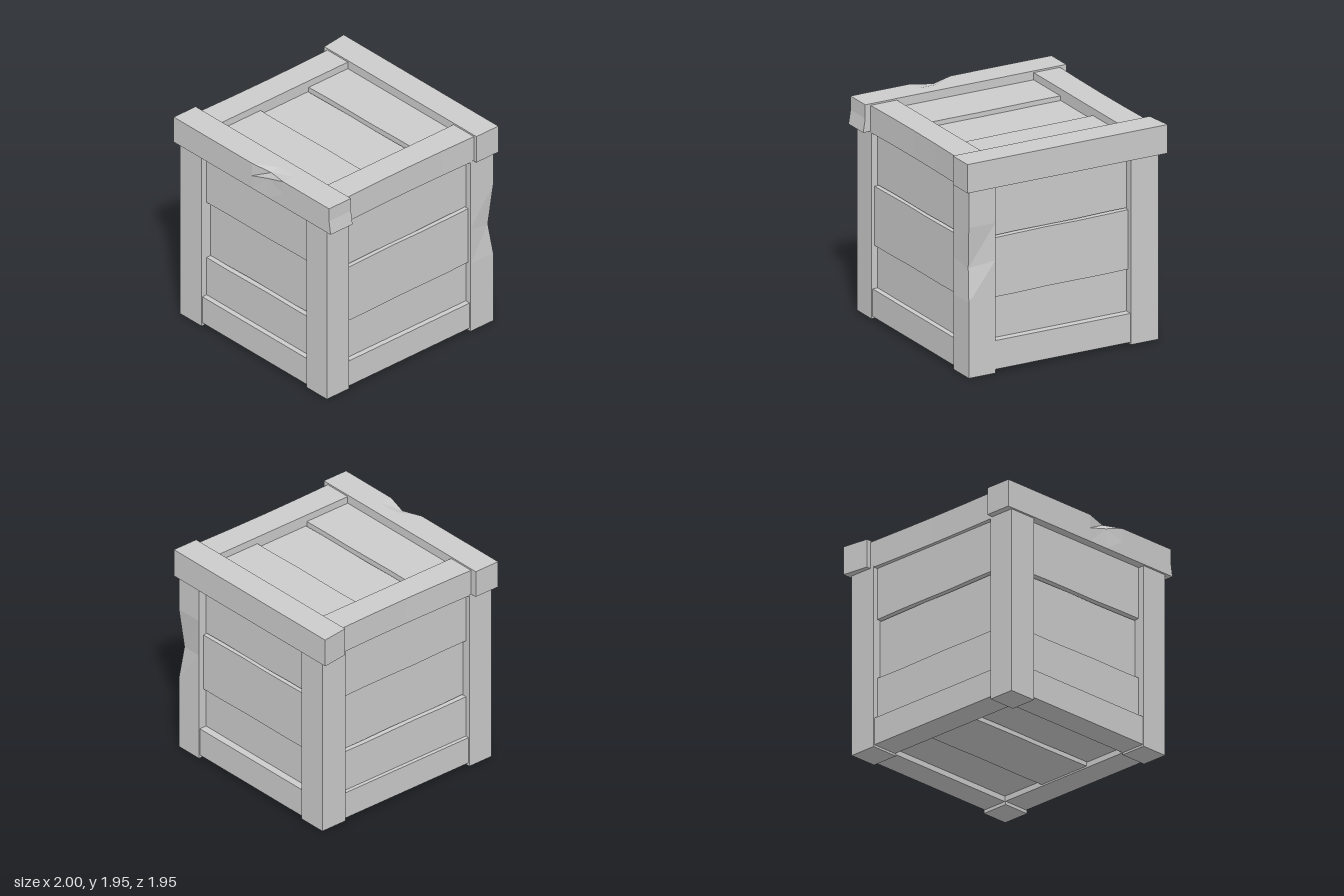
import * as THREE from 'three';

const material = new THREE.MeshStandardMaterial({ color: 0xcccccc, flatShading: true });

// Box between two corners, with optional segments and a rule that moves its vertices
function beam(name, [x0, x1], [y0, y1], [z0, z1], seg = [1, 1, 1], rule = null) {
  const geo = new THREE.BoxGeometry(x1 - x0, y1 - y0, z1 - z0, ...seg);
  geo.translate((x0 + x1) / 2, (y0 + y1) / 2, (z0 + z1) / 2);
  if (rule) {
    const pos = geo.attributes.position;
    const p = new THREE.Vector3();
    for (let i = 0; i < pos.count; i++) {
      rule(p.fromBufferAttribute(pos, i));
      pos.setXYZ(i, p.x, p.y, p.z);
    }
    geo.computeVertexNormals();
  }
  const mesh = new THREE.Mesh(geo, material);
  mesh.name = name;
  return mesh;
}

// Three planks with slightly uneven edges, facing +z; the middle one has its own depth
function panel(name, edges, halfWidth, outer, middle) {
  const group = new THREE.Group();
  group.name = name;
  for (let i = 0; i < 3; i++) {
    const face = i === 1 ? middle : outer;
    const v = [edges[i] + (i > 0 ? 0.004 : 0), edges[i + 1] - (i < 2 ? 0.004 : 0)];
    const mid = (v[0] + v[1]) / 2;
    group.add(beam('plank', [-halfWidth, halfWidth], v, [face - 0.08, face], [5, 1, 1], (p) => {
      const tilt = 0.006 * p.x;
      p.y += tilt + 0.003 * Math.sin(p.x * 7 + i * 2 + (p.y > mid ? 1 : 0));
    }));
  }
  return group;
}

export function createModel() {
  const crate = new THREE.Group();
  crate.name = 'crate';

  // Corner posts; the back left one has a chipped outer edge
  for (const sx of [-1, 1]) {
    for (const sz of [-1, 1]) {
      const x = sx > 0 ? [0.67, 0.93] : [-0.93, -0.66];
      const z = sz > 0 ? [0.7, 0.95] : [-0.95, -0.69];
      const y = [sx === sz ? 0.01 : 0, 1.7];
      const chipped = sx > 0 && sz < 0;
      crate.add(beam('cornerPost', x, y, z, [1, 5, 1], (p) => {
        if (chipped && p.x > 0.92 && p.z < -0.94 && Math.abs(p.y - 1.02) < 0.1) {
          p.x -= 0.02;
          p.z += 0.045;
          p.y -= 0.04;
        }
      }));
    }
  }

  // Bottom rails between the posts
  for (const s of [-1, 1]) {
    const z = s > 0 ? [0.7, 0.94] : [-0.94, -0.7];
    const x = s > 0 ? [0.67, 0.92] : [-0.92, -0.67];
    crate.add(beam('bottomRail', [-0.67, 0.68], [0.03, 0.29], z));
    crate.add(beam('bottomSideRail', x, [0.03, 0.28], [-0.7, 0.71]));
  }

  // Front top rail with a chip in its upper edge
  crate.add(beam('frontTopRail', [-0.99, 0.99], [1.7, 1.95], [0.72, 0.97], [10, 2, 2], (p) => {
    if (p.x > 0.98) p.x += p.y < 1.75 ? 0.01 : -0.01;
    if (Math.abs(p.x - 0.198) < 0.05 && p.z > 0.95) {
      if (p.y > 1.9) {
        p.y -= 0.02;
        p.z -= 0.045;
      } else if (p.y > 1.8) {
        p.y += 0.06;
        p.z -= 0.01;
      }
    }
  }));

  // Back top rail with a skewed end
  crate.add(beam('backTopRail', [-0.98, 0.96], [1.69, 1.95], [-0.98, -0.73], [1, 1, 1], (p) => {
    if (p.x < 0) p.x += p.z < -0.9 ? -0.02 : 0.01;
  }));

  // Side top rails, slightly bowed inward
  for (const s of [-1, 1]) {
    const x = s > 0 ? [0.67, 0.93] : [-0.93, -0.67];
    crate.add(beam('sideTopRail', x, [1.69, 1.935], [-0.74, 0.74], [1, 1, 4], (p) => {
      if (Math.abs(p.x) > 0.9) p.x -= s * 0.012 * Math.cos(p.z * 2);
    }));
  }

  // Plank walls
  const wallEdges = [0.1, 0.67, 1.215, 1.74];
  const walls = [
    ['frontPlanks', 0, 0.89, 0.85],
    ['leftPlanks', Math.PI / 2, 0.87, 0.9],
    ['backPlanks', Math.PI, 0.87, 0.9],
    ['rightPlanks', -Math.PI / 2, 0.885, 0.85],
  ];
  for (const [name, angle, outer, middle] of walls) {
    const wall = panel(name, wallEdges, 0.72, outer, middle);
    wall.rotation.y = angle;
    crate.add(wall);
  }

  // Lid and floor planks
  const lid = panel('lidPlanks', [-0.76, -0.26, 0.285, 0.76], 0.72, 1.87, 1.83);
  lid.rotation.x = -Math.PI / 2;
  const floor = panel('floorPlanks', [-0.74, -0.27, 0.27, 0.74], 0.72, -0.08, -0.045);
  floor.rotation.x = Math.PI / 2;
  crate.add(lid, floor);

  return crate;
}
